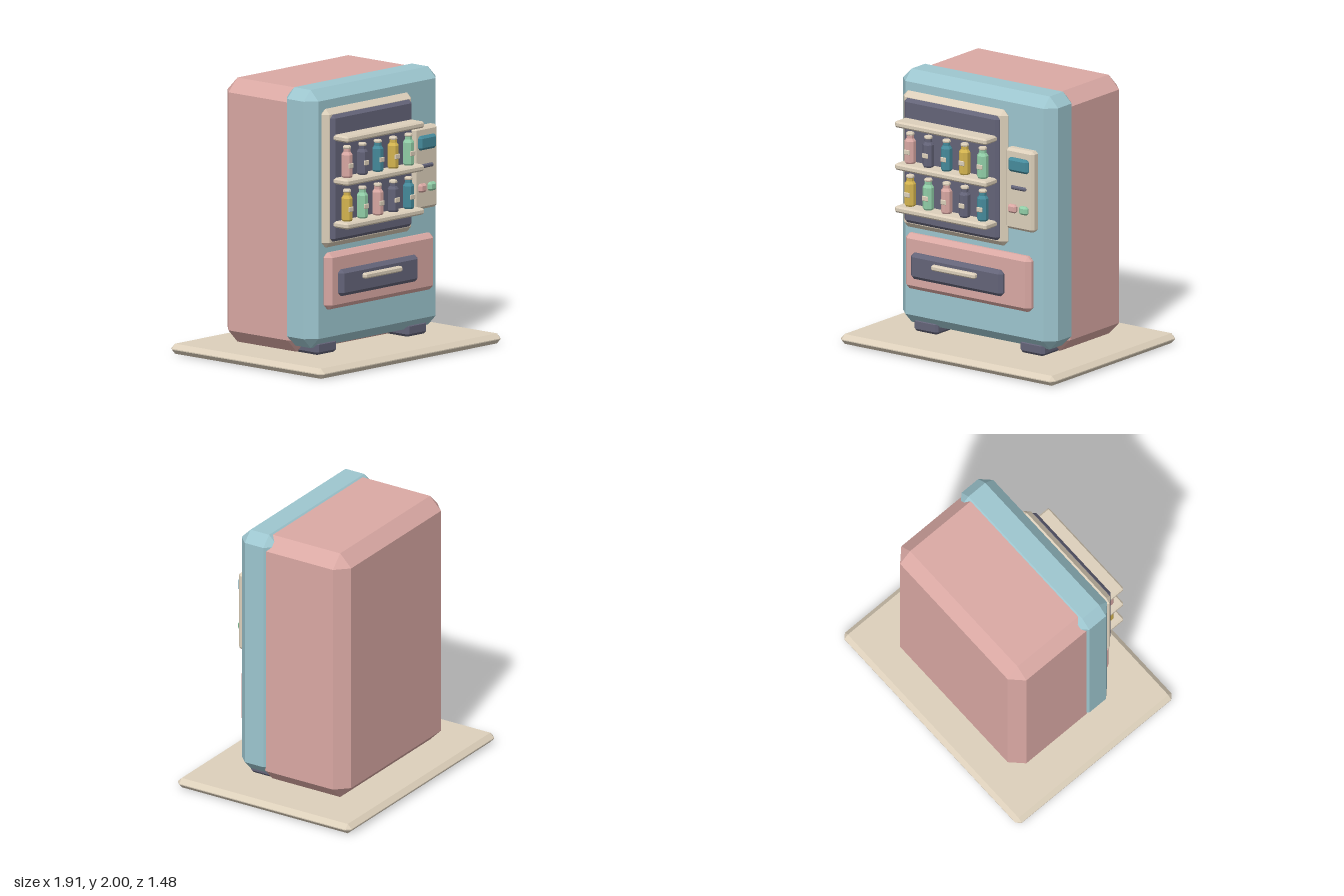
import * as THREE from 'three';
import { ConvexGeometry } from 'three/addons/geometries/ConvexGeometry.js';

const paint = (name, color) => {
  const m = new THREE.MeshStandardMaterial({ color });
  m.name = name;
  return m;
};

// Box between two corners with every edge cut at 45 degrees
function chamferBox([x0, x1], [y0, y1], [z0, z1], c) {
  const hx = (x1 - x0) / 2, hy = (y1 - y0) / 2, hz = (z1 - z0) / 2;
  const pts = [];
  for (const sx of [-1, 1]) for (const sy of [-1, 1]) for (const sz of [-1, 1]) {
    pts.push(
      new THREE.Vector3(sx * hx, sy * (hy - c), sz * (hz - c)),
      new THREE.Vector3(sx * (hx - c), sy * hy, sz * (hz - c)),
      new THREE.Vector3(sx * (hx - c), sy * (hy - c), sz * hz));
  }
  return new ConvexGeometry(pts).translate((x0 + x1) / 2, (y0 + y1) / 2, (z0 + z1) / 2);
}

// Faceted solid of revolution
function facetedLathe(profile, sides) {
  const pts = profile.map(([r, y]) => new THREE.Vector2(r, y));
  const g = new THREE.LatheGeometry(pts, sides, Math.PI / sides).toNonIndexed();
  g.computeVertexNormals();
  return g;
}

export function createModel() {
  const blue = paint('pale blue', 0x9dc6cf);
  const pink = paint('dusty pink', 0xdaa9a4);
  const cream = paint('cream', 0xddd0bb);
  const dark = paint('dark slate', 0x646479);
  const teal = paint('deep teal', 0x468b9c);
  const yellow = paint('mustard', 0xd6b650);
  const green = paint('mint', 0x92cfa8);

  const model = new THREE.Group();
  model.name = 'vendingMachine';
  const add = (name, geometry, material, parent = model) => {
    const mesh = new THREE.Mesh(geometry, material);
    mesh.name = name;
    parent.add(mesh);
    return mesh;
  };
  const box = (name, material, x, y, z, c) => add(name, chamferBox(x, y, z, c), material);

  // Floor slab, cabinet, front door and feet
  box('floorSlab', cream, [-0.955, 0.955], [0, 0.073], [-0.74, 0.74], 0.033);
  box('cabinet', pink, [-0.675, 0.675], [0.078, 1.99], [-0.512, 0.25], 0.094);
  box('frontDoor', blue, [-0.69, 0.69], [0.13, 2.0], [0.09, 0.398], 0.075);
  for (const [side, x] of [['left', [0.365, 0.58]], ['right', [-0.58, -0.365]]])
    box(side + 'Foot', dark, x, [0.075, 0.17], [0.13, 0.355], 0.02);

  // Display window
  box('windowFrame', cream, [-0.61, 0.322], [0.865, 1.87], [0.385, 0.466], 0.039);
  box('windowPanel', dark, [-0.566, 0.28], [0.91, 1.828], [0.44, 0.494], 0.024);
  const shelfTops = [1.06, 1.375, 1.688];
  for (const top of shelfTops)
    box('shelf', cream, [-0.55, 0.265], [top - 0.046, top], [0.455, 0.617], 0.012);

  // Bottles
  const bottleBody = facetedLathe([[0, 0], [0.035, 0], [0.042, 0.012], [0.042, 0.165],
    [0.027, 0.186], [0.027, 0.208], [0, 0.208]], 8);
  const bottleCap = facetedLathe([[0, 0.206], [0.025, 0.206], [0.031, 0.212],
    [0.031, 0.222], [0.025, 0.229], [0, 0.229]], 8);
  const bottleLabel = chamferBox([-0.025, 0.025], [0.069, 0.105], [0.034, 0.045], 0.004);
  const rows = [[yellow, green, pink, dark, teal], [pink, dark, teal, yellow, green]];
  rows.forEach((row, r) => row.forEach((material, i) => {
    const bottle = new THREE.Group();
    bottle.name = 'bottle';
    bottle.position.set(-0.466 + i * 0.1615, shelfTops[r], 0.537);
    add('bottleBody', bottleBody, material, bottle);
    add('bottleCap', bottleCap, cream, bottle);
    add('bottleLabel', bottleLabel, cream, bottle);
    model.add(bottle);
  }));

  // Control panel
  box('controlPanel', cream, [0.322, 0.572], [1.01, 1.608], [0.385, 0.464], 0.02);
  box('screen', teal, [0.358, 0.537], [1.442, 1.546], [0.44, 0.49], 0.018);
  box('coinSlot', dark, [0.378, 0.512], [1.31, 1.339], [0.445, 0.478], 0.009);
  box('cancelButton', pink, [0.358, 0.432], [1.138, 1.2], [0.44, 0.492], 0.014);
  box('selectButton', green, [0.458, 0.532], [1.138, 1.2], [0.44, 0.492], 0.014);

  // Collection drawer
  box('drawerFrame', pink, [-0.58, 0.54], [0.415, 0.825], [0.385, 0.472], 0.033);
  box('drawerFlap', dark, [-0.495, 0.325], [0.508, 0.7], [0.45, 0.515], 0.026);
  box('drawerHandle', cream, [-0.28, 0.112], [0.612, 0.652], [0.49, 0.548], 0.01);

  return model;
}
